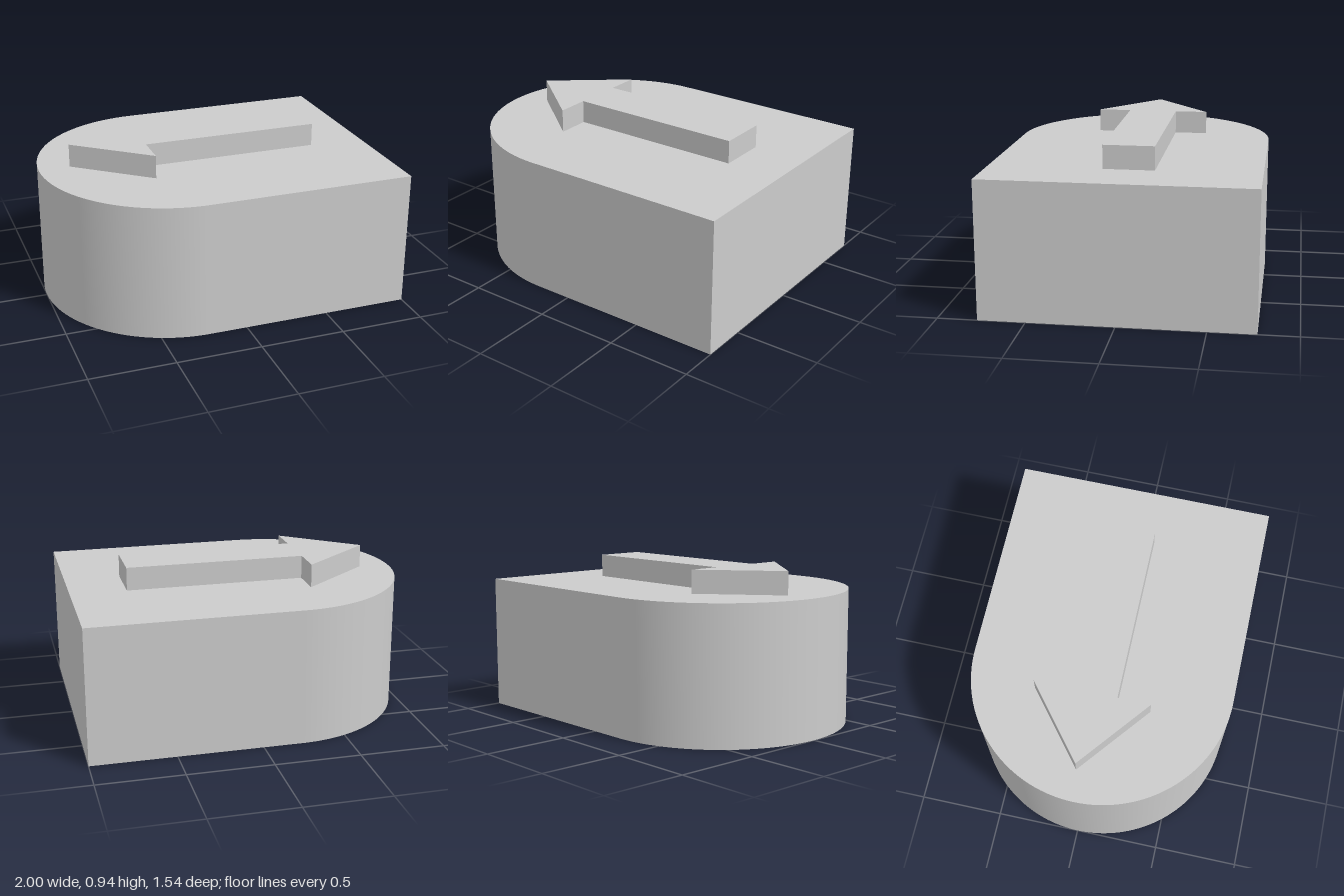
import * as THREE from 'three';
import { toCreasedNormals } from 'three/addons/utils/BufferGeometryUtils.js';

const material = new THREE.MeshStandardMaterial({ color: 0xcccccc });

// Extrude a plan outline (x, -z) upwards from a base height
function slab(name, shape, base, height) {
  const geometry = new THREE.ExtrudeGeometry(shape, {
    depth: height, bevelEnabled: false, curveSegments: 48,
  });
  geometry.rotateX(-Math.PI / 2);
  geometry.translate(0, base, 0);
  const mesh = new THREE.Mesh(toCreasedNormals(geometry, 0.5), material);
  mesh.name = name;
  return mesh;
}

export function createModel() {
  const group = new THREE.Group();
  group.name = 'arrowBlock';

  // Block: square at one end, half-round at the other
  const radius = 0.772;
  const body = new THREE.Shape();
  body.moveTo(1, -radius);
  body.lineTo(1, radius);
  body.lineTo(radius - 1, radius);
  body.absarc(radius - 1, 0, radius, Math.PI / 2, Math.PI * 1.5, false);
  body.closePath();
  group.add(slab('body', body, 0, 0.803));

  // Raised arrow pointing at the round end, set slightly off centre
  const middle = 0.028, shaft = 0.147, head = 0.342;
  const arrow = new THREE.Shape([
    [-0.815, 0], [-0.39, -head], [-0.39, -shaft], [0.668, -shaft],
    [0.668, shaft], [-0.39, shaft], [-0.39, head],
  ].map(([x, y]) => new THREE.Vector2(x, y + middle)));
  group.add(slab('arrow', arrow, 0.803, 0.137));

  return group;
}
